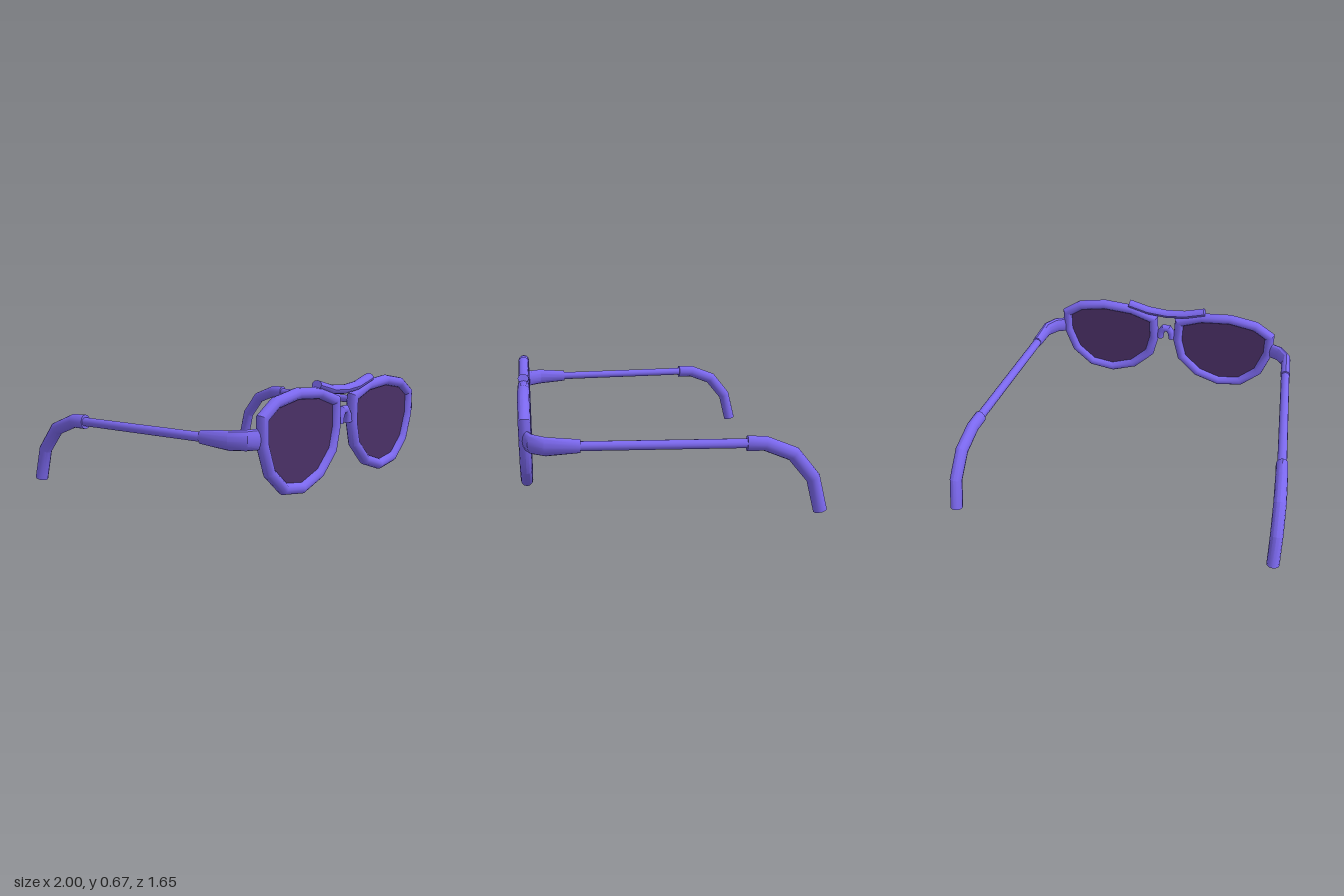
import * as THREE from 'three';
import { toCreasedNormals } from 'three/addons/utils/BufferGeometryUtils.js';

const SIDES = 12;
const frameMat = new THREE.MeshStandardMaterial({ color: 0x7b68ee });
const lensMat = new THREE.MeshStandardMaterial({ color: 0x4a3066 });

// Sweeps an ellipse along a mitred polyline. ref is the normal of the path's plane;
// each radius is [along ref, across ref], one for the whole path or one per point.
function sweep(points, radii, ref, closed = false) {
  const p = points.map((q) => new THREE.Vector3(...q));
  const n = p.length;
  const pos = [];
  const index = [];
  for (let i = 0; i < n; i++) {
    const prev = closed ? p[(i + n - 1) % n] : p[Math.max(i - 1, 0)];
    const next = closed ? p[(i + 1) % n] : p[Math.min(i + 1, n - 1)];
    const dIn = p[i].clone().sub(prev).normalize();
    const dOut = next.clone().sub(p[i]).normalize();
    const t = dIn.clone().add(dOut).normalize();
    const mitre = 1 / t.dot(dOut.lengthSq() > 0 ? dOut : dIn);
    const u = ref.clone().addScaledVector(t, -ref.dot(t)).normalize();
    const v = t.clone().cross(u);
    const [ru, rv] = Array.isArray(radii[0]) ? radii[i] : radii;
    for (let j = 0; j < SIDES; j++) {
      const a = (j / SIDES) * Math.PI * 2;
      const q = p[i].clone()
        .addScaledVector(u, Math.cos(a) * ru)
        .addScaledVector(v, Math.sin(a) * rv * mitre);
      pos.push(q.x, q.y, q.z);
    }
  }
  const at = (i, j) => (i % n) * SIDES + (j % SIDES);
  for (let i = 0; i < (closed ? n : n - 1); i++) {
    for (let j = 0; j < SIDES; j++) {
      index.push(at(i, j), at(i, j + 1), at(i + 1, j + 1));
      index.push(at(i, j), at(i + 1, j + 1), at(i + 1, j));
    }
  }
  // flat end caps
  if (!closed) {
    for (let j = 1; j < SIDES - 1; j++) {
      index.push(at(0, 0), at(0, j + 1), at(0, j));
      index.push(at(n - 1, 0), at(n - 1, j), at(n - 1, j + 1));
    }
  }
  const g = new THREE.BufferGeometry();
  g.setAttribute('position', new THREE.Float32BufferAttribute(pos, 3));
  g.setIndex(index);
  return toCreasedNormals(g, 0.6);
}

const X = new THREE.Vector3(1, 0, 0);
const Y = new THREE.Vector3(0, 1, 0);
const Z = new THREE.Vector3(0, 0, 1);
const FRONT = 0.79;

// Centre line of one rim
const RIM = [
  [0.093, 0.55], [0.248, 0.604], [0.447, 0.619], [0.625, 0.589],
  [0.728, 0.522], [0.728, 0.387], [0.672, 0.232], [0.553, 0.127],
  [0.398, 0.104], [0.24, 0.157], [0.12, 0.272], [0.086, 0.406],
];

export function createModel() {
  const model = new THREE.Group();
  model.name = 'sunglasses';
  const add = (parent, name, geometry, material = frameMat) => {
    const mesh = new THREE.Mesh(geometry, material);
    mesh.name = name;
    parent.add(mesh);
  };

  for (const [side, s] of [['left', 1], ['right', -1]]) {
    const half = new THREE.Group();
    half.name = `${side}Half`;
    model.add(half);
    const flip = (pts) => pts.map(([x, y, z]) => [s * x, y, z]);

    // rim and tinted lens
    add(half, `${side}Rim`, sweep(flip(RIM.map(([x, y]) => [x, y, FRONT])), [0.034, 0.032], Z, true));
    const outline = new THREE.Shape(RIM.map(([x, y]) => new THREE.Vector2(s * x, y)));
    const lens = new THREE.ExtrudeGeometry(outline, { depth: 0.012, bevelEnabled: false });
    lens.translate(0, 0, FRONT - 0.006);
    add(half, `${side}Lens`, lens, lensMat);

    // oval end piece turning the corner into the temple
    add(half, `${side}EndPiece`, sweep(
      flip([[0.745, 0.417, 0.783], [0.81, 0.417, 0.755], [0.86, 0.415, 0.685], [0.872, 0.413, 0.505]]),
      [[0.055, 0.024], [0.054, 0.03], [0.052, 0.03], [0.037, 0.031]], Y));

    // thin temple rod
    add(half, `${side}Temple`, sweep(
      flip([[0.87, 0.413, 0.53], [0.934, 0.404, -0.4]]), [0.026, 0.028], Y));

    // thicker ear sleeve, hooking downward
    add(half, `${side}EarTip`, sweep(
      flip([[0.931, 0.404, -0.37], [0.939, 0.4, -0.47], [0.951, 0.338, -0.624],
        [0.959, 0.2, -0.737], [0.963, 0.012, -0.785]]),
      [[0.035, 0.043], [0.036, 0.04], [0.037, 0.04], [0.037, 0.039], [0.037, 0.039]], X));
  }

  // arched nose bridge
  add(model, 'noseBridge', sweep(
    [[-0.043, 0.41], [-0.036, 0.455], [-0.016, 0.485], [0.016, 0.485], [0.036, 0.455], [0.043, 0.41]]
      .map(([x, y]) => [x, y, FRONT]), [0.026, 0.024], Z));

  // curved brow bar over the bridge
  add(model, 'browBar', sweep(
    [[-0.268, 0.65], [-0.13, 0.613], [0, 0.602], [0.13, 0.613], [0.268, 0.65]]
      .map(([x, y]) => [x, y, FRONT]), [0.032, 0.026], Z));

  return model;
}
